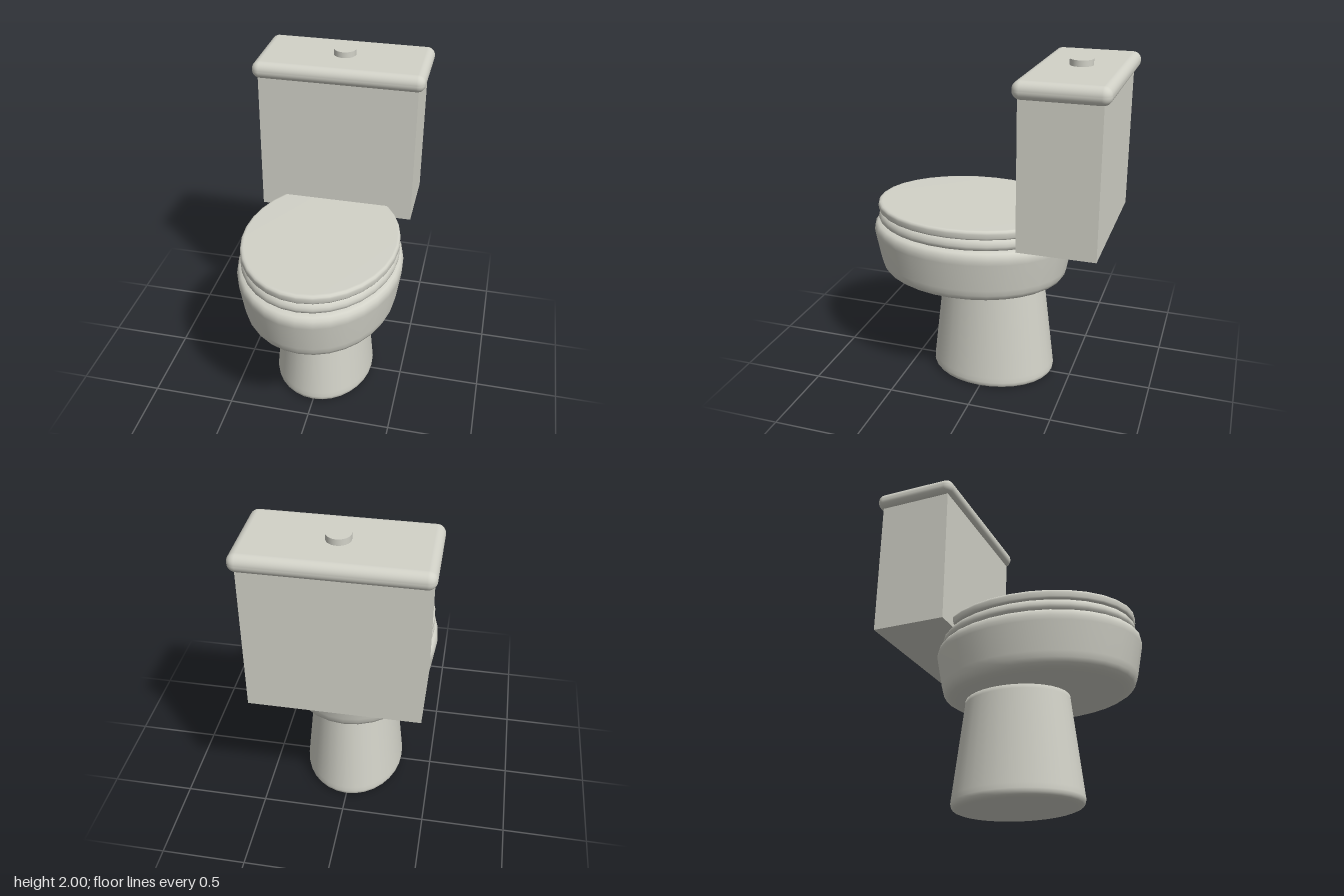
import * as THREE from 'three';
import { RoundedBoxGeometry } from 'three/addons/geometries/RoundedBoxGeometry.js';

const ceramic = new THREE.MeshStandardMaterial({ color: 0xd2d2c8 });
ceramic.name = 'ceramic';

export function createModel() {
  const model = new THREE.Group();
  model.name = 'toilet';

  function add(name, geometry, x, y, z) {
    const mesh = new THREE.Mesh(geometry, ceramic);
    mesh.name = name;
    mesh.position.set(x, y, z);
    model.add(mesh);
  }

  // Turned oval part: profile of [radius in x, height], stretched along z
  function oval(name, profile, stretch, z) {
    const points = profile.map(([r, y]) => new THREE.Vector2(r, y));
    const geometry = new THREE.LatheGeometry(points, 32);
    geometry.scale(1, 1, stretch);
    add(name, geometry, 0, 0, z);
  }

  // Tapered foot
  oval('pedestal', [
    [0, 0], [0.27, 0], [0.285, 0.002], [0.299, 0.009], [0.307, 0.022], [0.309, 0.04],
    [0.306, 0.07], [0.253, 0.62], [0.25, 0.66], [0, 0.66],
  ], 1.25, 0);

  // Flared bowl with rounded rim and underside
  oval('bowl', [
    [0, 0.645], [0.37, 0.645], [0.395, 0.647], [0.42, 0.655], [0.438, 0.67], [0.45, 0.695],
    [0.457, 0.73], [0.482, 0.9], [0.484, 0.925], [0.48, 0.95], [0.468, 0.967],
    [0.447, 0.975], [0.425, 0.977], [0, 0.977],
  ], 1.28, 0.13);

  // Seat
  oval('seat', [
    [0, 0.975], [0.435, 0.975], [0.449, 0.979], [0.458, 0.99], [0.461, 1.005],
    [0.458, 1.022], [0.45, 1.036], [0.438, 1.045], [0.425, 1.046], [0, 1.046],
  ], 1.28, 0.13);

  // Closed lid, running back into the tank
  oval('lid', [
    [0, 1.042], [0.44, 1.042], [0.453, 1.046], [0.459, 1.056], [0.46, 1.08],
    [0.458, 1.09], [0.451, 1.097], [0.44, 1.099], [0, 1.099],
  ], 1.28, 0.13);

  // Tank with overhanging rounded cover and flush button
  add('tank', new THREE.BoxGeometry(0.94, 0.86, 0.446), 0, 1.45, -0.495);
  add('tankCover', new RoundedBoxGeometry(1.01, 0.1, 0.515, 5, 0.047), 0, 1.915, -0.498);
  add('flushButton', new THREE.CylinderGeometry(0.066, 0.066, 0.05, 32), 0, 1.975, -0.5);

  return model;
}
